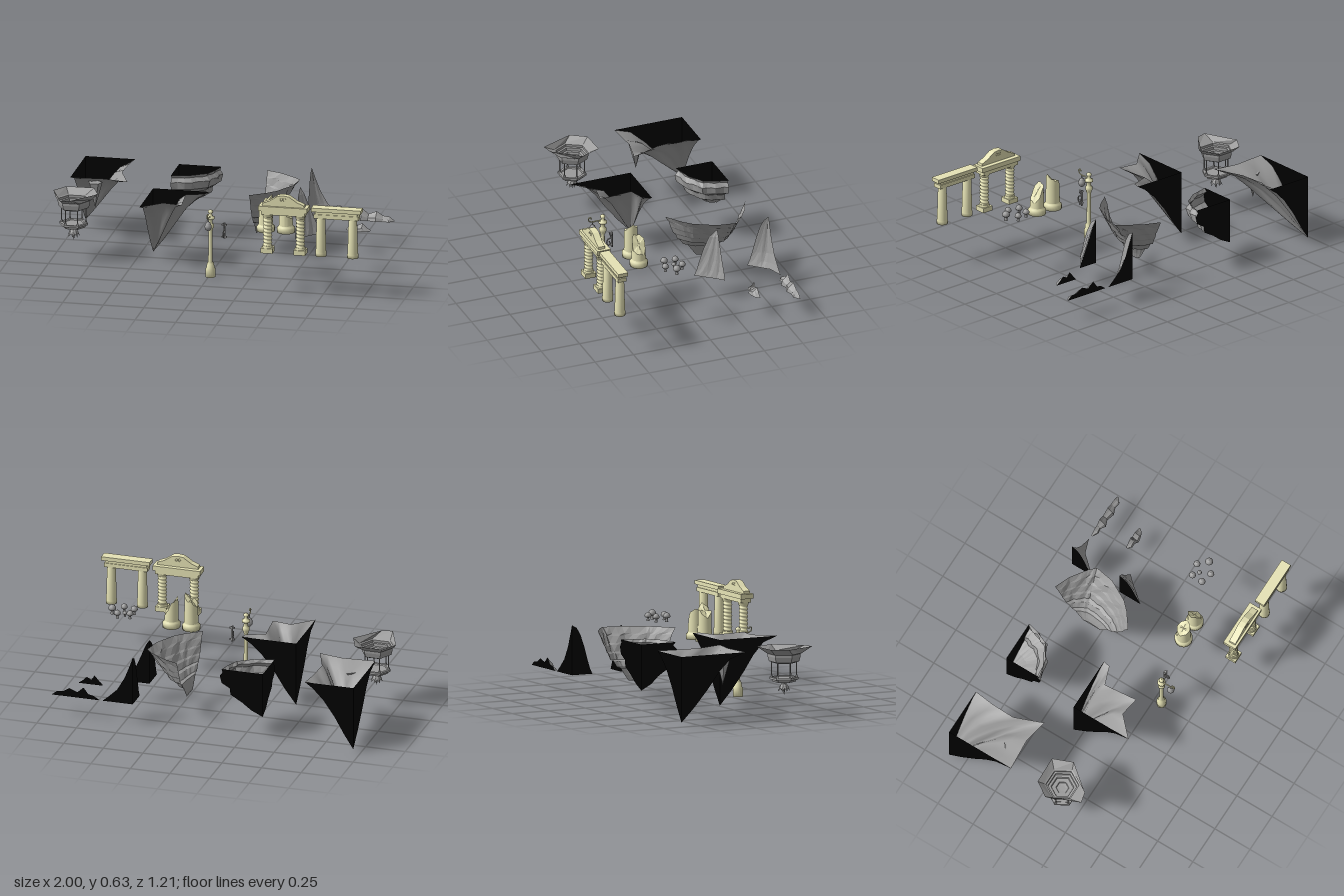
import * as THREE from 'three';

const opts = { color: 0x9c9c9c, side: THREE.DoubleSide };
const grey = new THREE.MeshStandardMaterial(opts);
const facet = new THREE.MeshStandardMaterial({ ...opts, flatShading: true });
const dark = new THREE.MeshStandardMaterial({ ...opts, color: 0x000000 });
const stone = new THREE.MeshStandardMaterial({ ...opts, color: 0xe6e3b5 });

function add(parent, name, geo, mat, x = 0, y = 0, z = 0) {
  const m = new THREE.Mesh(geo, mat);
  m.name = name;
  m.position.set(x, y, z);
  parent.add(m);
  return m;
}
function group(parent, name, x = 0, y = 0, z = 0) {
  const g = new THREE.Group();
  g.name = name;
  g.position.set(x, y, z);
  parent.add(g);
  return g;
}
const box = (w, h, d) => new THREE.BoxGeometry(w, h, d);
const cyl = (a, b, h, n = 16, m = 1) => new THREE.CylinderGeometry(a, b, h, n, m);
const lathe = (pts, n = 16) => new THREE.LatheGeometry(pts.map(p => new THREE.Vector2(...p)), n);
const tube = (pts, r) => new THREE.TubeGeometry(
  new THREE.CatmullRomCurve3(pts.map(p => new THREE.Vector3(...p))), 28, r, 6);

// Skin over rows of equally many points
function loft(rows) {
  const n = rows[0].length, index = [];
  for (let j = 0; j < rows.length - 1; j++) for (let i = 0; i < n - 1; i++) {
    const a = j * n + i, b = a + n;
    index.push(a, a + 1, b, b, a + 1, b + 1);
  }
  const g = new THREE.BufferGeometry();
  g.setAttribute('position', new THREE.Float32BufferAttribute(rows.flat(2), 3));
  g.setIndex(index);
  g.computeVertexNormals();
  return g;
}

// Rock sliced through (cx, cz): outline shrinks towards that axis along a profile of [scale, y].
// zPow below 1 keeps it wider along z; sag lowers the middle of each layer.
function cutRock(parent, name, cx, cz, outline, profile, { mat = grey, walls = true, rough = 0.05, zPow = 1, sag = 0 } = {}) {
  const g = group(parent, name), pts = [];
  outline.forEach((p, i) => {
    const q = outline[i + 1];
    if (!q) return pts.push(p);
    for (let k = 0; k < 3; k++) pts.push([p[0] + (q[0] - p[0]) * k / 3, p[1] + (q[1] - p[1]) * k / 3]);
  });
  const rows = profile.map(([s, y], j) => pts.map(([x, z], i) => {
    const k = s === 1 ? 1 : s * (1 + rough * Math.sin(i * 1.9 + j * 1.3));
    const dip = sag * 4 * s * (1 - s) * Math.sin(Math.PI * i / (pts.length - 1));
    return [cx + (x - cx) * k, y - dip, cz + (z - cz) * k ** zPow];
  }));
  add(g, name + 'Slope', loft(rows), mat);
  if (walls) for (const i of [0, pts.length - 1])
    add(g, name + 'CutFace', loft(rows.map(r => [r[i], [cx, r[i][1], cz]])), dark);
  return g;
}

// Low jagged ridge with a flat back, from [x, height, depth]
function ridge(parent, name, z, base, prof) {
  const g = group(parent, name);
  const row = (h, d) => prof.map(p => [p[0], base + (p[1] - base) * h, z + p[2] * d]);
  add(g, name + 'Front', loft([row(0, 1), row(0.45, 0.8), row(0.7, 0.35), row(1, 0)]), facet);
  add(g, name + 'Back', loft([row(0, 0), row(1, 0)]), dark);
}

function rocks(root) {
  const big = [[1, .42], [.8, .385], [.6, .315], [.4, .215], [.2, .11], [0, .02]];
  const r1 = cutRock(root, 'cornerIsland', -.955, -.605,
    [[-.65, -.605], [-.665, -.48], [-.67, -.33], [-.6, -.15], [-.75, -.18], [-.955, -.165]], big);
  const spike = add(r1, 'hangingSpike', new THREE.ConeGeometry(.045, .16, 5), facet, -.82, .292, -.25);
  spike.rotation.x = Math.PI;
  cutRock(root, 'secondCornerIsland', -.42, -.055,
    [[-.075, -.055], [-.085, -.01], [-.2, .03], [-.18, .24], [-.3, .22], [-.42, .335]], big);
  cutRock(root, 'roundIsland', -.37, -.565,
    [[-.11, -.565], [-.13, -.49], [-.16, -.42], [-.25, -.36], [-.37, -.33]],
    [[1, .42], [.95, .4], [1.03, .375], [1, .33], [.82, .3], [.78, .26], [.5, .22], [.28, .175], [0, .14]],
    { mat: facet, rough: .03 });
  // Terraced cliff, open at the cut
  cutRock(root, 'layeredCliff', .175, -.3,
    [[.175, -.56], [.27, -.52], [.37, -.45], [.41, -.41], [.39, -.29], [.32, -.16], [.27, -.11], [.175, -.04]],
    [[1, .42], [.86, .39], [.82, .38], [.72, .345], [.67, .335], [.58, .3], [.52, .29],
      [.44, .255], [.34, .245], [.24, .21], [.14, .2], [.07, .155], [.03, .12], [0, .12]],
    { mat: facet, walls: false, rough: .03, sag: .02, zPow: .42 });
  // Pointed spires and low ridges
  cutRock(root, 'tallSpire', .44, -.605, [[.63, -.605], [.54, -.575], [.5, -.53], [.44, -.465]],
    [[1, .135], [.75, .17], [.5, .22], [.28, .3], [.12, .375], [.03, .42], [0, .44]], { mat: facet, zPow: .4 });
  cutRock(root, 'smallSpire', .44, -.27, [[.57, -.27], [.53, -.23], [.49, -.18], [.44, -.12]],
    [[1, .135], [.84, .175], [.62, .24], [.42, .31], [.2, .38], [0, .42]], { mat: facet, zPow: .65 });
  ridge(root, 'longRidge', -.605, .135, [[.655, .137, .01], [.69, .16, .03], [.72, .165, .025], [.75, .205, .045],
    [.79, .17, .03], [.84, .19, .045], [.88, .165, .03], [.92, .16, .035], [.95, .137, .01]]);
  ridge(root, 'shortRidge', -.385, .135, [[.7, .137, .01], [.72, .16, .03], [.75, .195, .03], [.77, .165, .045],
    [.8, .18, .04], [.83, .15, .03], [.85, .137, .01]]);
}

// Floating hexagonal shrine: stepped bowl, posts, platform and hanging leaves
function shrine(root) {
  const g = group(root, 'hexShrine', -.866, 0, .145);
  const hex = (r, y) => Array.from({ length: 7 }, (_, i) => {
    const a = Math.PI + i * Math.PI / 3;
    return [Math.cos(a) * r, y, Math.sin(a) * r];
  });
  const rim = [[-.134, -.038], [-.074, -.13], [.096, -.135], [.146, -.011], [.016, .15], [-.05, .165], [-.134, -.038]]
    .map(([x, z]) => [x, .42, z]);
  add(g, 'steppedBowl', loft([rim, hex(.11, .385), hex(.1, .38), hex(.1, .365), hex(.088, .362), hex(.086, .345),
    hex(.07, .343), hex(.066, .33), hex(.04, .328), hex(.036, .32), hex(0, .32)]), facet);
  add(g, 'bowlFoot', loft([hex(.1, .365), hex(.092, .335), hex(.07, .325), hex(0, .318)]), facet);
  for (let i = 0; i < 6; i++) {
    const a = i * Math.PI / 3;
    add(g, 'post', cyl(.0035, .0035, .1, 6), grey, Math.cos(a) * .075, .285, Math.sin(a) * .075);
    add(g, 'postFoot', cyl(.005, .008, .015, 6), grey, Math.cos(a) * .075, .244, Math.sin(a) * .075);
  }
  add(g, 'platform', loft([hex(0, .232), hex(.065, .232), hex(.07, .238), hex(.088, .238), hex(.088, .225),
    hex(.074, .221), hex(.07, .21), hex(0, .206)]), facet);
  for (let i = 0; i < 8; i++) {
    const turn = group(g, 'leaf', 0, .215, 0);
    turn.rotation.y = i * Math.PI / 4;
    const tilt = group(turn, 'leafTilt');
    tilt.rotation.x = -.55;
    const leaf = add(tilt, 'leafBlade', new THREE.OctahedronGeometry(1), facet, 0, -.036, 0);
    leaf.scale.set(.018, .038, .006);
  }
  add(g, 'rootTip', new THREE.ConeGeometry(.02, .085, 6).rotateX(Math.PI), facet, 0, .17, 0);
}

// Street lamp with hooked arm and a lantern, plus a loose scroll bracket
function lamp(root) {
  const g = group(root, 'lampPost', .01, 0, .3);
  add(g, 'post', lathe([[0, 0], [.03, 0], [.03, .05], [.024, .06], [.022, .085], [.014, .092], [.012, .29],
    [.016, .295], [.016, .305], [.022, .312], [.022, .33], [.014, .335], [.013, .36], [.025, .365], [.025, .378],
    [.012, .382], [.01, .4], [.015, .404], [.015, .415], [0, .425]]), stone);
  add(g, 'arm', tube([[0, .37, 0], [0, .385, .03], [0, .385, .07], [0, .395, .09], [0, .413, .092],
    [0, .416, .078], [0, .405, .074]], .004), stone);
  add(g, 'lantern', lathe([[0, .305], [.006, .309], [.015, .316], [.021, .328], [.022, .338], [.017, .351],
    [.013, .355], [.014, .36], [.004, .365], [.003, .388]], 12), grey, 0, 0, .066);
  const b = group(root, 'scrollBracket', .09, 0, .29);
  add(b, 'scroll', tube([[0, .335, 0], [0, .3, -.01], [0, .29, .01], [0, .268, .016], [0, .25, .006],
    [0, .26, -.006], [0, .275, 0]], .004), grey);
  add(b, 'wallPlate', box(.012, .1, .006), grey, 0, .287, -.018);
  for (const y of [.325, .25]) add(b, 'crossPin', box(.03, .01, .008), grey, 0, y, -.012);
}

// Two broken columns with slanting, chipped tops
function brokenColumns(root) {
  [[.34, .485, .033], [.465, .435, -.06]].forEach(([x, top, slant]) => {
    const g = group(root, 'brokenColumn', x, 0, .25);
    add(g, 'base', lathe([[0, .297], [.055, .297], [.055, .325], [.047, .332], [.042, .345]], 20), stone);
    const shaft = cyl(.04, .044, 1, 20, 4), p = shaft.attributes.position;
    for (let i = 0; i < p.count; i++) {
      const t = p.getY(i) + .5, a = Math.atan2(p.getZ(i), p.getX(i)), r = Math.hypot(p.getX(i), p.getZ(i)) / .042;
      const edge = top + r * (slant * Math.cos(a) + .01 * Math.sin(a * 3 + 1) + .006 * Math.cos(a * 7));
      p.setY(i, .33 + t * (edge - .33));
    }
    shaft.computeVertexNormals();
    add(g, 'shaft', shaft, stone);
  });
}

// Gate with twisted columns and pediment
function pedimentGate(root) {
  const g = group(root, 'pedimentGate', .519, 0, .557);
  for (const x of [-.101, .101]) {
    const geo = cyl(1, 1, .2, 20, 63), p = geo.attributes.position;
    for (let i = 0; i < p.count; i++) {
      const a = Math.atan2(p.getZ(i), p.getX(i)), r = Math.hypot(p.getX(i), p.getZ(i));
      const k = r * (.0255 + .003 * Math.cos(a - 2 * Math.PI * 9 * p.getY(i) / .2));
      p.setXYZ(i, Math.cos(a) * k, p.getY(i), Math.sin(a) * k);
    }
    geo.computeVertexNormals();
    add(g, 'twistedShaft', geo, stone, x, .39, 0);
    add(g, 'plinth', box(.072, .03, .07), stone, x, .277, 0);
    add(g, 'collar', cyl(.03, .033, .015), stone, x, .298, 0);
    add(g, 'capital', cyl(.035, .028, .02), stone, x, .497, 0);
  }
  add(g, 'lowerBeam', box(.27, .022, .07), stone, 0, .517, 0);
  add(g, 'upperBeam', box(.3, .03, .084), stone, 0, .545, 0);
  const s = new THREE.Shape([[-.13, .56], [-.128, .575], [-.085, .592], [-.035, .625], [0, .63], [.035, .625],
    [.085, .592], [.128, .575], [.13, .56]].map(p => new THREE.Vector2(...p)));
  add(g, 'pediment', new THREE.ExtrudeGeometry(s, { depth: .042, bevelEnabled: false }), stone, 0, 0, -.013);
  for (const z of [-.013, .029]) for (const x of [-.01, .01])
    add(g, 'carvedRing', new THREE.TorusGeometry(.008, .002, 6, 12), stone, x, .605, z);
}

// Gate with plain tapered columns and a straight lintel
function plainGate(root) {
  const g = group(root, 'plainGate', .847, 0, .567);
  for (const x of [-.098, .098])
    add(g, 'taperedColumn', lathe([[0, .263], [.034, .263], [.034, .285], [.032, .292], [.026, .505], [0, .505]], 20), stone, x);
  add(g, 'lowerBeam', box(.275, .025, .056), stone, 0, .516, 0);
  add(g, 'frieze', box(.26, .02, .046), stone, 0, .537, 0);
  add(g, 'upperBeam', box(.306, .024, .064), stone, 0, .557, 0);
}

function mushrooms(root) {
  [[.68, .1, .021], [.72, .125, .014], [.755, .085, .021], [.805, .14, .024], [.745, .19, .021], [.675, .17, .022]].forEach(([x, z, r]) => {
    const g = group(root, 'mushroom', x, .38, z), h = r * 1.4;
    add(g, 'stem', cyl(r * .25, r * .45, h, 8), grey, 0, h / 2, 0);
    add(g, 'cap', lathe([[0, h * .85], [r * .7, h * .75], [r, h], [r * .95, h + r * .4], [r * .7, h + r * .85],
      [r * .35, h + r * 1.1], [0, h + r * 1.18]], 12), grey);
  });
}

export function createModel() {
  const root = new THREE.Group();
  root.name = 'floatingRuinsKit';
  for (const build of [rocks, shrine, lamp, brokenColumns, pedimentGate, plainGate, mushrooms]) build(root);
  return root;
}
